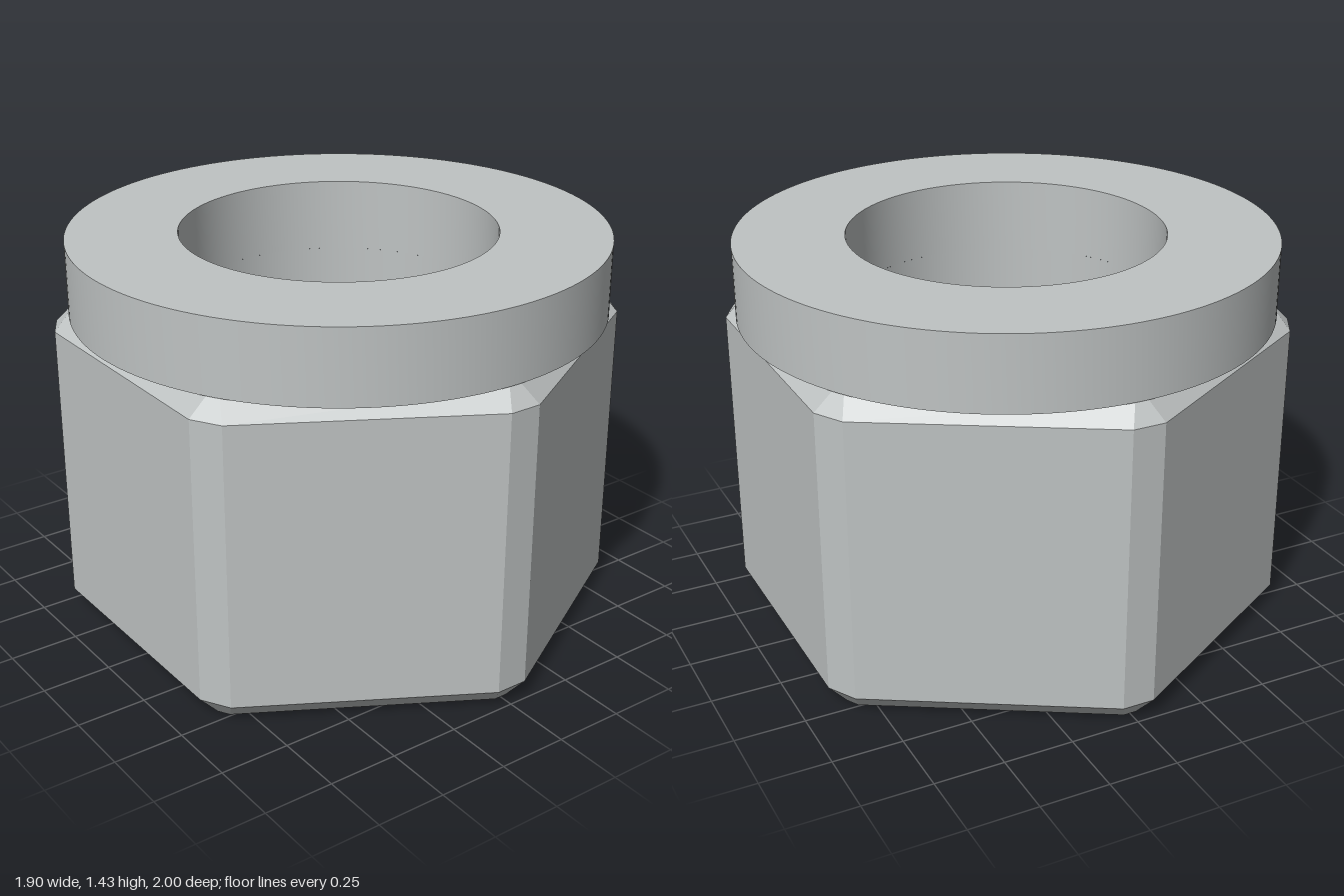
import * as THREE from 'three';
import { toCreasedNormals } from 'three/addons/utils/BufferGeometryUtils.js';

const BORE = 0.56, COLLAR = 0.95, BODY_TOP = 1.165, TOP = 1.43, SEGMENTS = 96;

// Hexagon with trimmed corners, one corner toward +z: list of [x, z]
function hexOutline(cornerRadius, apothem) {
  const half = (apothem - cornerRadius * Math.cos(Math.PI / 6)) / Math.sin(Math.PI / 6);
  const points = [];
  for (let k = 0; k < 6; k++) {
    const s = Math.sin(k * Math.PI / 3), c = Math.cos(k * Math.PI / 3);
    for (const h of [-half, half]) points.push([s * cornerRadius + c * h, c * cornerRadius - s * h]);
  }
  return points;
}

// Flat-faced wall through a stack of outlines
function loftWall(rings) {
  const pos = [];
  for (let r = 0; r < rings.length - 1; r++) {
    const lo = rings[r], hi = rings[r + 1], n = lo.points.length;
    for (let i = 0; i < n; i++) {
      const j = (i + 1) % n;
      const at = (ring, k) => [ring.points[k][0], ring.y, ring.points[k][1]];
      const a = at(lo, i), b = at(lo, j), c = at(hi, j), d = at(hi, i);
      pos.push(...a, ...b, ...c, ...a, ...c, ...d);
    }
  }
  const geo = new THREE.BufferGeometry();
  geo.setAttribute('position', new THREE.Float32BufferAttribute(pos, 3));
  geo.computeVertexNormals();
  return geo;
}

function withBore(shape) {
  shape.holes.push(new THREE.Path().absarc(0, 0, BORE, 0, Math.PI * 2, true));
  return shape;
}

export function createModel() {
  const model = new THREE.Group();
  const steel = new THREE.MeshStandardMaterial({ color: 0xbfc3c3 });
  const add = (name, geo) => {
    const mesh = new THREE.Mesh(geo, steel);
    mesh.name = name;
    model.add(mesh);
  };

  // Hexagonal body, chamfered at both ends
  const full = hexOutline(1, 0.895), inset = hexOutline(0.945, 0.83);
  add('hexBody', loftWall([
    { y: 0, points: inset },
    { y: 0.07, points: full },
    { y: 1.1, points: full },
    { y: BODY_TOP, points: inset },
  ]));

  // Underside with the bore opening
  const base = withBore(new THREE.Shape(inset.map(([x, z]) => new THREE.Vector2(x, z))));
  add('bottomFace', new THREE.ShapeGeometry(base, SEGMENTS).rotateX(Math.PI / 2));

  // Bore wall through the body, facing inward
  add('bore', new THREE.LatheGeometry(
    [new THREE.Vector2(BORE, BODY_TOP), new THREE.Vector2(BORE, 0)], SEGMENTS));

  // Round collar on top
  const ring = withBore(new THREE.Shape().absarc(0, 0, COLLAR, 0, Math.PI * 2, false));
  const collar = new THREE.ExtrudeGeometry(ring, {
    depth: TOP - BODY_TOP, bevelEnabled: false, curveSegments: SEGMENTS,
  });
  collar.rotateX(-Math.PI / 2).translate(0, BODY_TOP, 0);
  add('collar', toCreasedNormals(collar, 0.5));

  return model;
}
